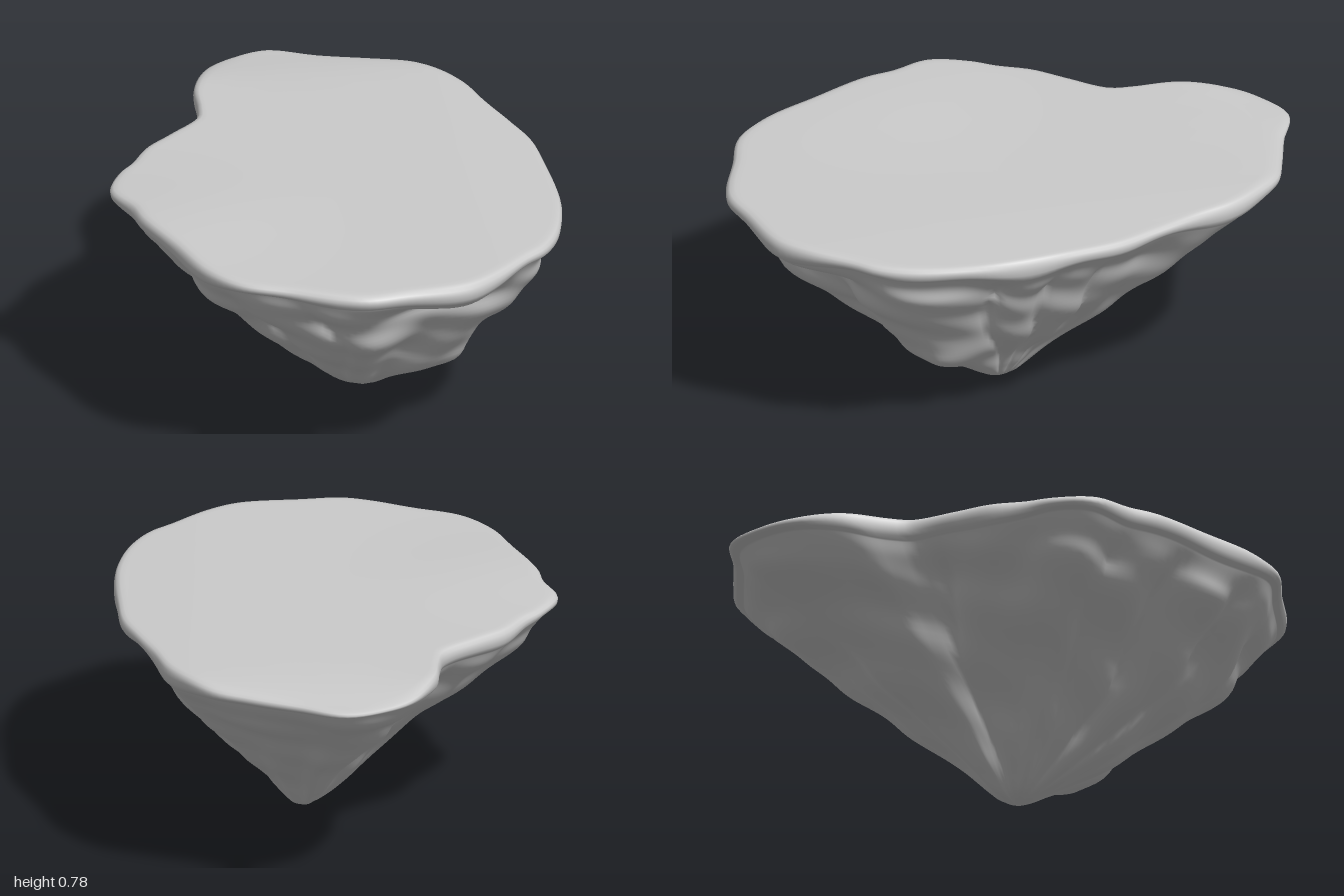
import * as THREE from 'three';

const SEGMENTS = 200;
const TIP = new THREE.Vector2(0.11, 0.08);
const { smoothstep, degToRad } = THREE.MathUtils;

// Plateau outline (x, z), from the back round by the left side
const OUTLINE = [
  [-0.07, -1], [0.1, -0.93], [0.27, -0.87], [0.39, -0.82], [0.48, -0.73], [0.55, -0.62],
  [0.6, -0.47], [0.66, -0.31], [0.71, -0.17], [0.73, 0], [0.745, 0.2], [0.74, 0.35],
  [0.7, 0.55], [0.64, 0.67], [0.57, 0.74], [0.46, 0.86], [0.37, 0.93], [0.3, 0.955],
  [0.14, 0.975], [0, 0.995], [-0.1, 0.97], [-0.25, 0.9], [-0.41, 0.83], [-0.52, 0.7],
  [-0.6, 0.5], [-0.68, 0.3], [-0.7, 0.2], [-0.75, 0.06], [-0.7, -0.08], [-0.65, -0.15],
  [-0.59, -0.26], [-0.5, -0.35], [-0.385, -0.47], [-0.37, -0.55], [-0.36, -0.7],
  [-0.29, -0.87], [-0.2, -0.95],
];

// Slope of the rock on each side: fraction of the outline at each fraction of height
const HEIGHTS = [1, 0.93, 0.84, 0.71, 0.53, 0.37, 0.23, 0.12, 0.04, 0];
const slope = (...f) => new THREE.SplineCurve(f.map((x, i) => new THREE.Vector2(x, HEIGHTS[i])));
const FRONT = slope(0.965, 0.94, 0.9, 0.82, 0.66, 0.52, 0.37, 0.21, 0.08, 0);
const BACK = slope(0.965, 0.92, 0.83, 0.69, 0.52, 0.36, 0.23, 0.14, 0.07, 0);
const LEFT = slope(0.965, 0.89, 0.82, 0.74, 0.59, 0.43, 0.24, 0.15, 0.08, 0);
const RIGHT = slope(0.965, 0.92, 0.85, 0.72, 0.53, 0.36, 0.25, 0.16, 0.08, 0);

// Sharp creases running up from the tip: angle in degrees, half width, depth
const CREASES = [
  [-27, 6, 0.09], [-5, 6, 0.11], [19, 7, 0.14], [108, 6, 0.06], [128, 7, 0.1],
  [150, 7, 0.1], [172, 7, 0.05], [-134, 7, 0.1],
];
// Broad hollows, deepest at the front
const HOLLOWS = [
  [80, 15, 0.25], [-48, 8, 0.05], [-68, 8, 0.06], [-92, 9, 0.06], [-112, 8, 0.05], [-158, 9, 0.05],
];

const gauss = (d, w) => Math.exp(-(d * d) / (w * w));
const angleGap = (a, b) => ((a - b + 540) % 360 + 360) % 360 - 180;

// Height of the gently uneven plateau
const topHeight = (x, z) => 0.762 + 0.018 * gauss(Math.hypot(x + 0.55, z - 0.3), 0.35)
  - 0.027 * smoothstep(-z, 0.7, 1) - 0.008 * smoothstep(x, 0.4, 0.75);

// Thickness of the rim, varying around the edge
function lipDepth(p) {
  const t = degToRad(p.angle);
  return (0.062 + 0.014 * Math.sin(5 * t + 1) + 0.008 * Math.sin(11 * t)) * (1 - 0.4 * smoothstep(-p.z, 0.6, 1));
}

// Share of the rock left standing at one angle and height
function erosion(angle, v) {
  const t = degToRad(angle);
  const wandering = angle + 4 * Math.sin(v * 7 + 2 * t);
  let scale = 1.03;
  for (const [a, width, depth] of CREASES) {
    scale -= depth * Math.exp(-1.3 * Math.abs(angleGap(wandering, a)) / width);
  }
  for (const [a, width, depth] of HOLLOWS) {
    scale -= depth * gauss(angleGap(wandering, a), width);
  }
  // Faint lumps and a low knob near the foot
  scale += 0.016 * Math.sin(v * 15 + 3 * t) + 0.012 * Math.sin(v * 27 - 7 * t + 2);
  return scale + 0.25 * gauss(angleGap(angle, 45), 15) * gauss(v - 0.28, 0.09);
}

// Skin of successive closed rings, smooth all round
function loft(rings) {
  const index = [];
  for (let r = 0; r < rings.length - 1; r++) {
    for (let i = 0; i < SEGMENTS; i++) {
      const a = r * SEGMENTS + i;
      const b = r * SEGMENTS + (i + 1) % SEGMENTS;
      index.push(a, b, a + SEGMENTS, b, b + SEGMENTS, a + SEGMENTS);
    }
  }
  const geometry = new THREE.BufferGeometry();
  geometry.setAttribute('position', new THREE.Float32BufferAttribute(rings.flat(2), 3));
  geometry.setIndex(index);
  geometry.computeVertexNormals();
  return geometry;
}

export function createModel() {
  const group = new THREE.Group();
  group.name = 'floatingIsland';

  const curve = new THREE.CatmullRomCurve3(
    OUTLINE.map(([x, z]) => new THREE.Vector3(x, 0, z)), true, 'centripetal');
  const rim = curve.getSpacedPoints(SEGMENTS).slice(0, SEGMENTS).map((p) => ({
    x: p.x, z: p.z, height: topHeight(p.x, p.z),
    angle: THREE.MathUtils.radToDeg(Math.atan2(p.z - TIP.y, p.x - TIP.x)),
  }));
  const spread = (p, f) => [TIP.x + (p.x - TIP.x) * f, TIP.y + (p.z - TIP.y) * f];

  // Flat plateau
  const cap = [0, 0.15, 0.3, 0.45, 0.6, 0.75, 0.87, 0.94, 0.965].map((f) => rim.map((p) => {
    const [x, z] = spread(p, f);
    return [x, topHeight(x, z), z];
  }));

  // Rounded lip: fraction of outline, fraction of lip depth
  const lip = [[0.985, 0.05], [0.996, 0.2], [1, 0.4], [0.997, 0.65], [0.985, 0.86]].map(([f, drop]) =>
    rim.map((p) => {
      const [x, z] = spread(p, f);
      return [x, p.height - drop * lipDepth(p), z];
    }));

  // Rock from the lip to the tip
  const rows = 56;
  const rock = [];
  for (let r = 0; r <= rows; r++) {
    const [front, back, left, right] = [FRONT, BACK, LEFT, RIGHT].map((s) => s.getPoint(r / rows));
    const v = front.y;
    // Erosion fades out at the lip and at the tip
    const fade = smoothstep(1 - v, 0, 0.17) * smoothstep(v, 0, 0.1);
    rock.push(rim.map((p) => {
      const t = degToRad(p.angle);
      const c = Math.cos(t), s = Math.sin(t);
      const f = c * c * (c > 0 ? left.x : right.x) + s * s * (s > 0 ? front.x : back.x);
      const [x, z] = spread(p, f * (1 + (erosion(p.angle, v) - 1) * fade));
      return [x, v * (p.height - lipDepth(p)), z];
    }));
  }

  const island = new THREE.Mesh(loft([...cap, ...lip, ...rock]),
    new THREE.MeshStandardMaterial({ color: 0xcccccc }));
  island.name = 'rockAndPlateau';
  group.add(island);
  return group;
}
